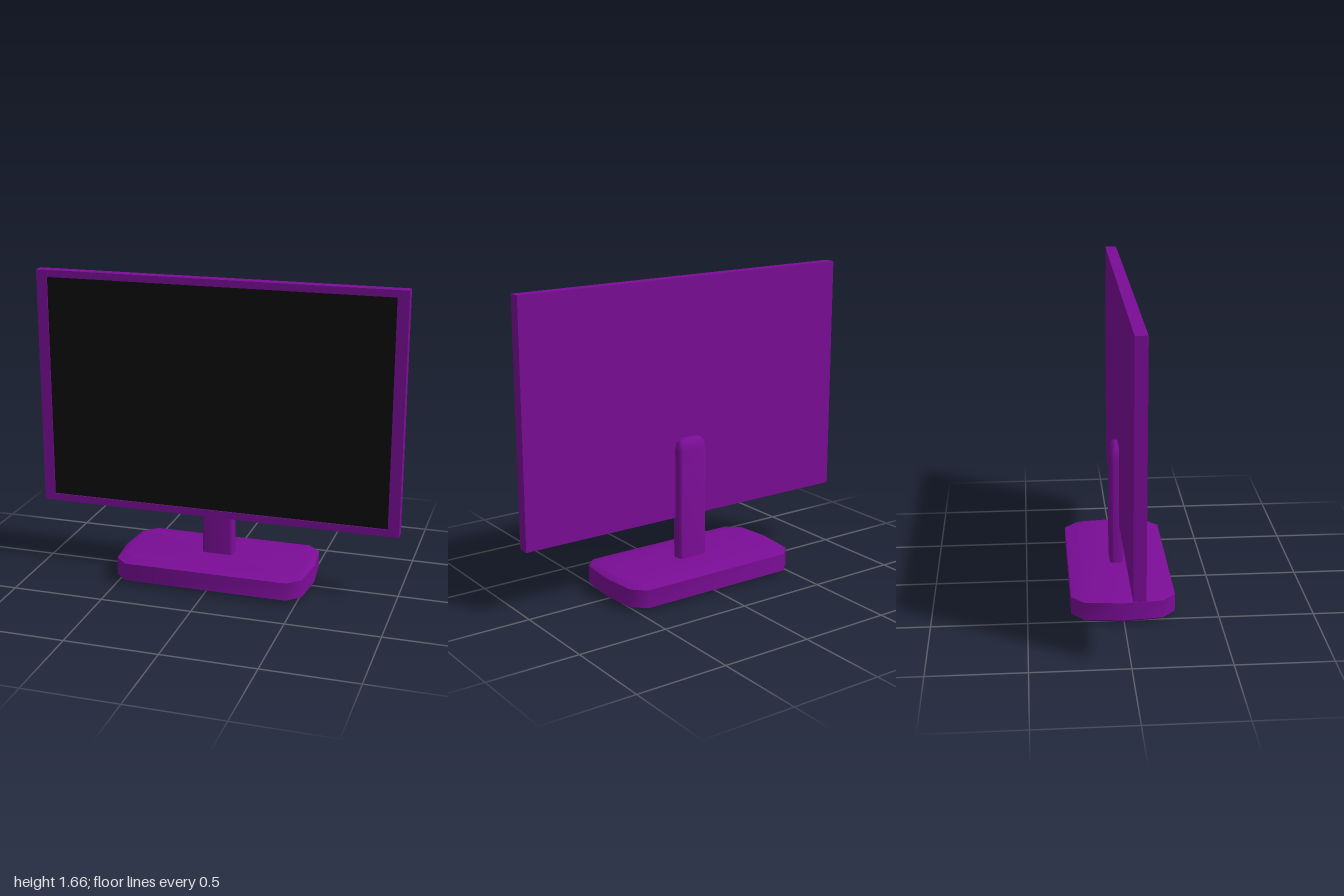
import * as THREE from 'three';
import { mergeVertices, toCreasedNormals } from 'three/addons/utils/BufferGeometryUtils.js';

// Closed solid from stacked rings of [x, y, z]; corners run counter-clockwise seen from above.
function loft(rings, crease) {
  const n = rings[0].length;
  const pos = rings.flat(2);
  const index = [];
  for (let r = 0; r < rings.length - 1; r++) {
    for (let i = 0; i < n; i++) {
      const a = r * n + i, b = r * n + (i + 1) % n;
      index.push(a, b, b + n, a, b + n, a + n);
    }
  }
  const top = (rings.length - 1) * n;
  for (let i = 1; i < n - 1; i++) {
    index.push(0, i + 1, i, top, top + i, top + i + 1);
  }
  const geo = new THREE.BufferGeometry();
  geo.setAttribute('position', new THREE.Float32BufferAttribute(pos, 3));
  geo.setIndex(index);
  return toCreasedNormals(mergeVertices(geo), crease);
}

// Foot outline: long straight sides, cut corners, slightly bowed ends.
function footRing(y, end, shoulderX, shoulderZ, sideX, sideZ) {
  return [
    [end, 0], [shoulderX, -shoulderZ], [sideX, -sideZ],
    [-sideX, -sideZ], [-shoulderX, -shoulderZ], [-end, 0],
    [-shoulderX, shoulderZ], [-sideX, sideZ],
    [sideX, sideZ], [shoulderX, shoulderZ],
  ].map(([x, z]) => [x, y, z]);
}

// Rounded rectangle ring for the neck.
function neckRing(y, hx, zBack, zFront, r) {
  const ring = [];
  const corners = [[1, zBack + r], [-1, zBack + r], [-1, zFront - r], [1, zFront - r]];
  corners.forEach(([s, z], c) => {
    for (let k = 0; k <= 4; k++) {
      const t = (c + k / 4) * Math.PI / 2;
      ring.push([s * (hx - r) + r * Math.cos(t), y, z - r * Math.sin(t)]);
    }
  });
  return ring;
}

function rect(Type, hx, y0, y1) {
  const p = new Type();
  p.moveTo(-hx, y0);
  p.lineTo(hx, y0);
  p.lineTo(hx, y1);
  p.lineTo(-hx, y1);
  p.closePath();
  return p;
}

export function createModel() {
  const model = new THREE.Group();
  model.name = 'monitor';
  const casing = new THREE.MeshStandardMaterial({ color: 0x7a0d96 });
  const glass = new THREE.MeshStandardMaterial({ color: 0x0c0c0c });

  const add = (name, geo, mat) => {
    const mesh = new THREE.Mesh(geo, mat);
    mesh.name = name;
    model.add(mesh);
    return mesh;
  };

  // Foot with softened upper and lower edges
  add('foot', loft([
    footRing(0.0, 0.5, 0.48, 0.15, 0.42, 0.19),
    footRing(0.006, 0.525, 0.505, 0.18, 0.435, 0.22),
    footRing(0.02, 0.54, 0.52, 0.205, 0.45, 0.272),
    footRing(0.118, 0.54, 0.52, 0.205, 0.45, 0.272),
    footRing(0.13, 0.525, 0.505, 0.18, 0.435, 0.22),
    footRing(0.135, 0.5, 0.48, 0.15, 0.42, 0.19),
  ], 0.8), casing);

  // Neck rising behind the panel, with a rounded top
  add('neck', loft([
    neckRing(0.1, 0.087, -0.043, 0.03, 0.018),
    neckRing(0.745, 0.087, -0.043, 0.03, 0.018),
    neckRing(0.782, 0.08, -0.034, 0.027, 0.016),
    neckRing(0.797, 0.068, -0.022, 0.02, 0.012),
    neckRing(0.804, 0.05, -0.008, 0.012, 0.008),
  ], 0.8), casing);

  // Rear shell, bezel frame and slightly recessed screen
  const y0 = 0.36, y1 = 1.665, back = 0.005, front = 0.068, recess = 0.008;
  const shell = new THREE.BoxGeometry(2, y1 - y0, front - recess - back);
  add('rearShell', shell, casing)
    .position.set(0, (y0 + y1) / 2, (back + front - recess) / 2);

  const frame = rect(THREE.Shape, 1, y0, y1);
  frame.holes.push(rect(THREE.Path, 0.94, 0.4, 1.627));
  add('bezel', new THREE.ExtrudeGeometry(frame, { depth: recess, bevelEnabled: false }), casing)
    .position.z = front - recess;

  add('screen', new THREE.PlaneGeometry(1.88, 1.227), glass)
    .position.set(0, 1.0135, front - recess + 0.002);

  return model;
}
